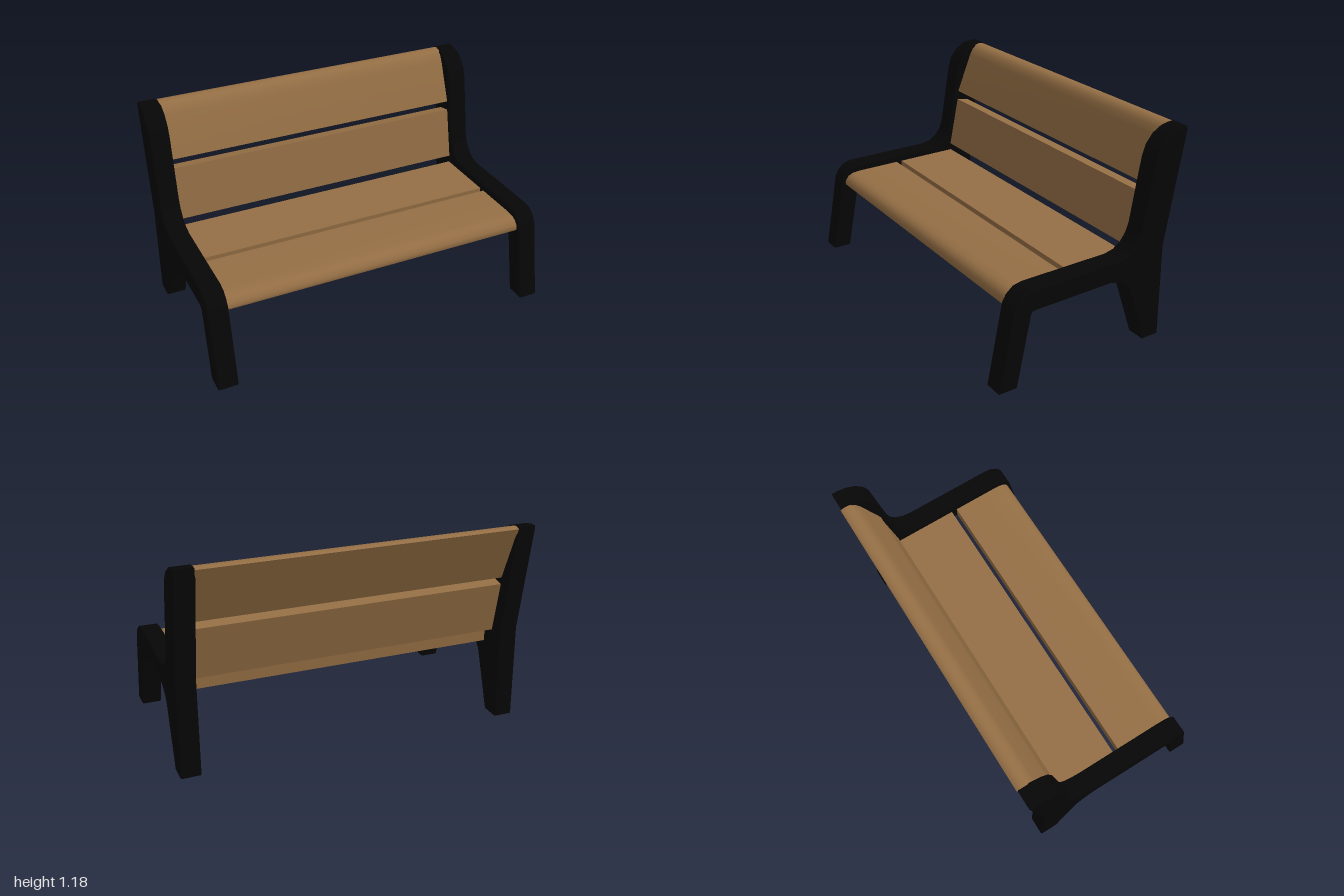
import * as THREE from 'three';
import { toCreasedNormals } from 'three/addons/utils/BufferGeometryUtils.js';

// Extrudes a side profile of [z, y] points along x, centred on x = 0
function extrudeProfile(points, width, bevel) {
  const shape = new THREE.Shape(points.map(([z, y]) => new THREE.Vector2(z, y)));
  const geometry = new THREE.ExtrudeGeometry(shape, {
    depth: width - 2 * bevel,
    bevelEnabled: bevel > 0,
    bevelSize: bevel,
    bevelThickness: bevel,
    bevelOffset: -bevel,
    bevelSegments: 1,
  });
  geometry.translate(0, 0, -(width - 2 * bevel) / 2);
  geometry.rotateY(-Math.PI / 2);
  return toCreasedNormals(geometry, 0.6);
}

// Board section as [along, across] points; the far outer edge can be rounded off
function boardSection(length, thickness, rounded) {
  const farEdge = rounded
    ? [[0.003, 0], [0, 0.17], [0.007, 0.46], [0.024, 0.75], [0.052, 0.93], [0.097, 1]]
    : [[0, 0], [0, 1]];
  return [
    [0, 0],
    ...farEdge.map(([inset, share]) => [length - inset, share * thickness]),
    [0, thickness],
  ];
}

export function createModel() {
  const bench = new THREE.Group();
  bench.name = 'parkBench';

  const iron = new THREE.MeshStandardMaterial({ color: 0x060606 });
  iron.name = 'blackIron';
  const wood = new THREE.MeshStandardMaterial({ color: 0x956f45 });
  wood.name = 'brownWood';

  // Side frames: front leg, seat rail, back leg and backrest post in one outline
  const frameProfile = [
    [0.567, 0], [0.483, 0.45], [0.46, 0.49], [0.42, 0.523], [0.37, 0.533],
    [-0.155, 0.533], [-0.21, 0.545], [-0.255, 0.575], [-0.288, 0.62], [-0.306, 0.67],
    [-0.367, 1.03], [-0.388, 1.09], [-0.43, 1.142], [-0.485, 1.173], [-0.535, 1.182],
    [-0.567, 1.182], [-0.567, 1.165], [-0.462, 0.54], [-0.471, 0], [-0.365, 0],
    [-0.245, 0.342], [-0.225, 0.367], [-0.2, 0.387], [-0.16, 0.409], [-0.12, 0.419],
    [0.355, 0.415], [0.373, 0.412], [0.381, 0.4], [0.46, 0],
  ];
  const frameGeometry = extrudeProfile(frameProfile, 0.115, 0.006);
  for (const [name, side] of [['leftFrame', 1], ['rightFrame', -1]]) {
    const frame = new THREE.Mesh(frameGeometry, iron);
    frame.name = name;
    frame.position.x = side * 0.9425;
    bench.add(frame);
  }

  function addBoard(name, profile) {
    const board = new THREE.Mesh(extrudeProfile(profile, 1.78, 0), wood);
    board.name = name;
    bench.add(board);
  }

  // Flat seat boards, running forward from their rear edge
  function addSeatBoard(name, rearZ, length, rounded) {
    addBoard(name, boardSection(length, 0.072, rounded).map(([u, v]) => [rearZ + u, 0.422 + v]));
  }
  addSeatBoard('rearSeatBoard', -0.307, 0.373, false);
  addSeatBoard('frontSeatBoard', 0.1, 0.367, true);

  // Leaning backrest boards, running up from their lower front edge
  function addBackBoard(name, z, y, length, leanDegrees, rounded) {
    const thickness = 0.08;
    const lean = THREE.MathUtils.degToRad(leanDegrees);
    const s = Math.sin(lean);
    const c = Math.cos(lean);
    addBoard(name, boardSection(length, thickness, rounded).map(([u, v]) => {
      const depth = thickness - v;
      return [z - u * s - depth * c, y + u * c - depth * s];
    }));
  }
  addBackBoard('lowerBackBoard', -0.306, 0.536, 0.304, 11.4, false);
  addBackBoard('upperBackBoard', -0.372, 0.888, 0.342, 22, true);

  return bench;
}
